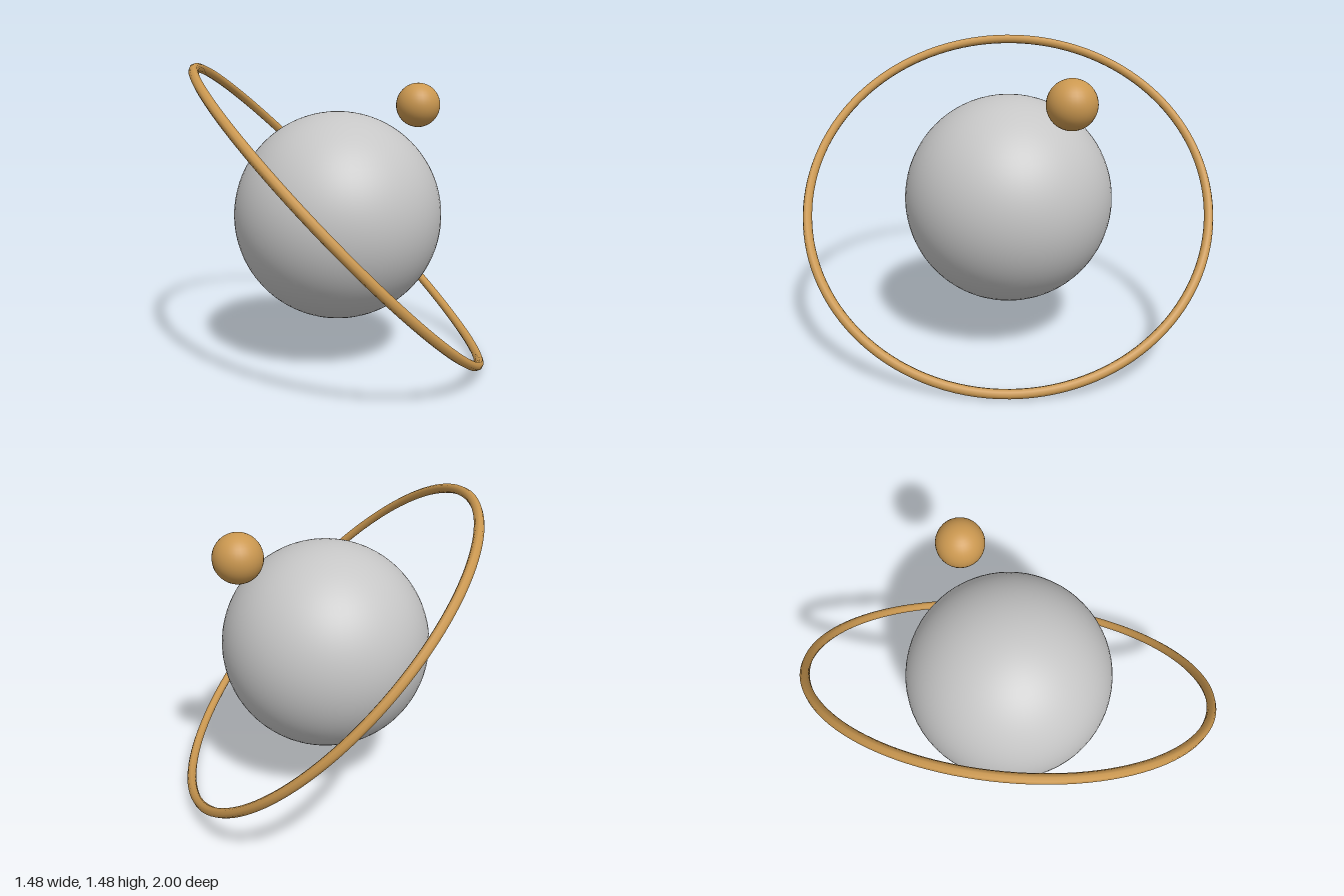
import * as THREE from 'three';

export function createModel() {
  const group = new THREE.Group();
  const grey = new THREE.MeshStandardMaterial({ color: 0xc6c6c6 });
  grey.name = 'light grey';
  const gold = new THREE.MeshStandardMaterial({ color: 0xcb9850 });
  gold.name = 'gold';

  const add = (name, geometry, material, x, y, z) => {
    const mesh = new THREE.Mesh(geometry, material);
    mesh.name = name;
    mesh.position.set(x, y, z);
    group.add(mesh);
    return mesh;
  };

  // Central globe
  add('globe', new THREE.SphereGeometry(0.514, 64, 40), grey, -0.012, 0.73, 0);

  // Small moon floating above the globe, behind and to its left
  add('moon', new THREE.SphereGeometry(0.115, 32, 20), gold, 0.323, 1.266, -0.377);

  // Slender tilted ring; its axis points up, left and slightly back
  const ring = add('ring', new THREE.TorusGeometry(0.995, 0.023, 8, 128), gold, 0, 0.738, 0);
  const axis = new THREE.Vector3(0.696, 0.696, -0.184).normalize();
  ring.quaternion.setFromUnitVectors(new THREE.Vector3(0, 0, 1), axis);

  return group;
}
